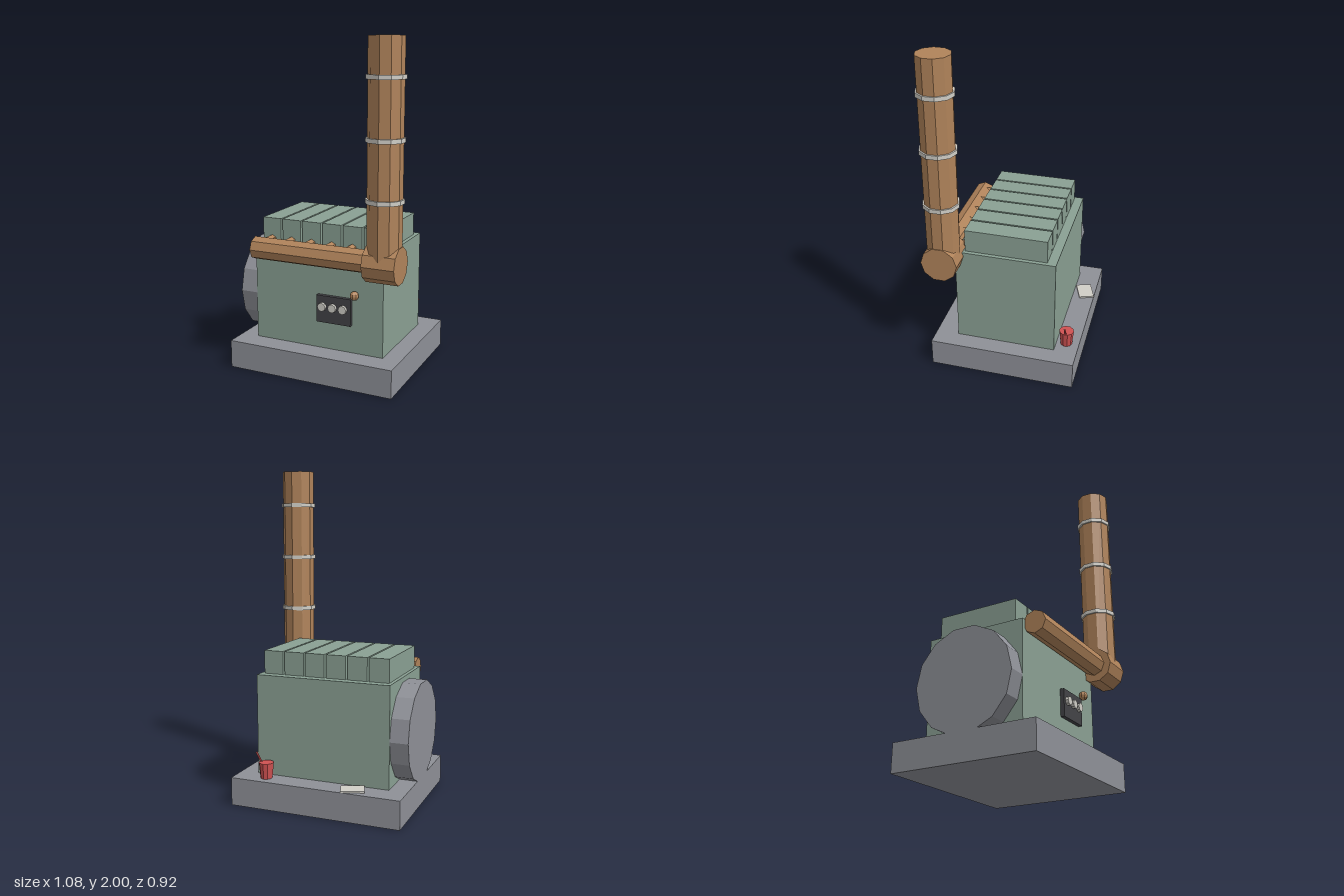
import * as THREE from 'three';

const mat = (name, color) => {
  const m = new THREE.MeshStandardMaterial({ color, flatShading: true });
  m.name = name;
  return m;
};

export function createModel() {
  const group = new THREE.Group();
  const green = mat('engineGreen', 0x8aa093);
  const grey = mat('castGrey', 0x8e9097);
  const copper = mat('pipeCopper', 0xb0835a);
  const pale = mat('paleMetal', 0xd0cec7);
  const dark = mat('panelDark', 0x434347);
  const red = mat('canRed', 0xcf5252);

  const add = (name, geometry, material, x, y, z) => {
    const mesh = new THREE.Mesh(geometry, material);
    mesh.name = name;
    mesh.position.set(x, y, z);
    group.add(mesh);
    return mesh;
  };
  const box = (name, m, w, h, d, x, y, z) => add(name, new THREE.BoxGeometry(w, h, d), m, x, y, z);
  // Cylinder lying along the chosen axis
  const rod = (name, m, axis, r, length, sides, x, y, z, rBottom = r) => {
    const g = new THREE.CylinderGeometry(r, rBottom, length, sides);
    if (axis === 'x') g.rotateZ(Math.PI / 2);
    if (axis === 'z') g.rotateX(Math.PI / 2);
    return add(name, g, m, x, y, z);
  };

  // Plinth, engine block and flywheel
  box('plinth', grey, 1.055, 0.17, 0.89, -0.0125, 0.085, -0.015);
  box('engineBlock', green, 0.835, 0.61, 0.61, -0.0125, 0.475, -0.015);
  rod('flywheel', grey, 'x', 0.305, 0.12, 14, -0.48, 0.452, -0.015);

  // Cylinder heads, each with an exhaust port into the manifold
  for (let i = 0; i < 6; i++) {
    const x = -0.347 + i * 0.1333;
    box('cylinderHead', green, 0.122, 0.14, 0.5, x, 0.85, -0.015);
    rod('exhaustPort', copper, 'z', 0.027, 0.13, 6, x, 0.789, 0.275);
  }

  // Exhaust manifold, elbow and stack
  rod('manifold', copper, 'x', 0.069, 0.8, 8, 0, 0.757, 0.347);
  rod('elbow', copper, 'x', 0.11, 0.195, 10, 0.4325, 0.755, 0.348);
  rod('stack', copper, 'y', 0.1, 1.245, 10, 0.431, 1.3775, 0.348);
  for (const y of [1.115, 1.45, 1.785]) {
    rod('stackBand', pale, 'y', 0.11, 0.025, 10, 0.431, y, 0.348);
  }

  // Control panel with three gauges and a knob
  box('controlPanel', dark, 0.22, 0.165, 0.025, 0.1, 0.422, 0.3015);
  for (const x of [0.03, 0.097, 0.164]) {
    rod('gauge', pale, 'z', 0.026, 0.02, 8, x, 0.438, 0.323);
  }
  add('knob', new THREE.SphereGeometry(0.027, 8, 6), copper, 0.236, 0.532, 0.316);

  // Oil can with slanted spout, and a sheet lying on the plinth
  rod('oilCan', red, 'y', 0.045, 0.095, 10, 0.32, 0.2175, -0.38, 0.036);
  const spout = rod('oilCanSpout', red, 'y', 0.006, 0.095, 6, 0.362, 0.28, -0.38);
  spout.rotation.z = -0.5;
  const sheet = box('paperSheet', pale, 0.137, 0.01, 0.097, -0.235, 0.175, -0.393);
  sheet.rotation.y = 0.34;

  return group;
}
